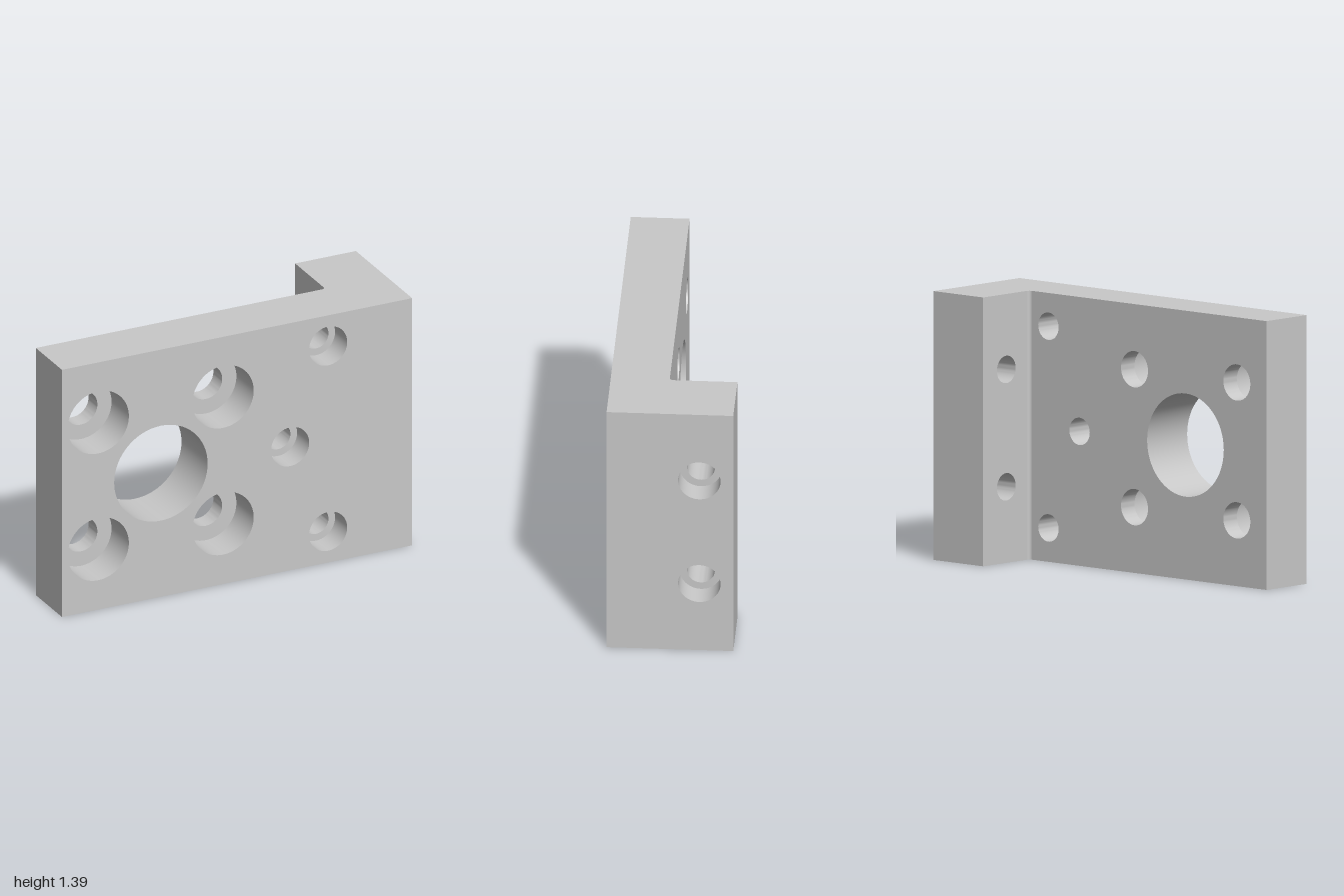
import * as THREE from 'three';
import { toCreasedNormals } from 'three/addons/utils/BufferGeometryUtils.js';

const H = 1.39;                       // height
const FRONT = 0.325, BACK = -0.325;   // z extents
const WEB = 0.023;                    // rear face of the plate
const INNER = 0.653;                  // inner face of the flange
const R = 0.02;                       // inner corner fillet

// Holes: position on the face, through radius r, counterbore radius cb and depth d
const plateHoles = [{ u: -0.435, v: 0.695, r: 0.267 }];
for (const u of [-0.793, -0.08])
  for (const v of [0.34, 1.053]) plateHoles.push({ u, v, r: 0.094, cb: 0.175, d: 0.2 });
for (const [u, v] of [[0.52, 0.175], [0.52, 1.218], [0.303, 0.695]])
  plateHoles.push({ u, v, r: 0.071, cb: 0.109, d: 0.14 });
const flangeHoles = [0.393, 1.0].map((v) => ({ u: -0.151, v, r: 0.071, cb: 0.109, d: 0.135 }));

// Flat rectangular face from u0 to u1 with circular holes [u, v, radius]
function panel(u0, u1, holes = []) {
  const s = new THREE.Shape([[u0, 0], [u1, 0], [u1, H], [u0, H]].map((p) => new THREE.Vector2(...p)));
  for (const [u, v, r] of holes) s.holes.push(new THREE.Path().absarc(u, v, r, 0, Math.PI * 2, true));
  return new THREE.ShapeGeometry(s, 32);
}

// Inward-facing wall of a stepped hole, opening at y = depth
function bore({ r, cb, d }, depth) {
  const pts = cb ? [[cb, depth], [cb, depth - d], [r, depth - d], [r, 0]] : [[r, depth], [r, 0]];
  const g = new THREE.LatheGeometry(pts.map((p) => new THREE.Vector2(...p)), 64);
  return toCreasedNormals(g, Math.PI / 6);
}

// L-shaped outline seen along y; sign flips z for the top cap
function cap(sign) {
  const s = new THREE.Shape();
  s.moveTo(-1, sign * FRONT);
  s.lineTo(1, sign * FRONT);
  s.lineTo(1, sign * BACK);
  s.lineTo(INNER, sign * BACK);
  s.lineTo(INNER, sign * (WEB - R));
  s.absarc(INNER - R, sign * (WEB - R), R, 0, sign * Math.PI / 2, sign < 0);
  s.lineTo(-1, sign * WEB);
  return new THREE.ShapeGeometry(s, 8);
}

export function createModel() {
  const metal = new THREE.MeshStandardMaterial({ color: 0xc8c8c8 });
  metal.name = 'light grey metal';
  const model = new THREE.Group();
  model.name = 'mountingBracket';
  const add = (name, geometry) => {
    const m = new THREE.Mesh(geometry, metal);
    m.name = name;
    model.add(m);
  };
  const quarter = Math.PI / 2;

  // Plate faces
  add('plateFront', panel(-1, 1, plateHoles.map((h) => [h.u, h.v, h.cb ?? h.r])).translate(0, 0, FRONT));
  add('plateRear', panel(R - INNER, 1, plateHoles.map((h) => [-h.u, h.v, h.r]))
    .rotateY(Math.PI).translate(0, 0, WEB));
  add('plateEnd', panel(WEB, FRONT).rotateY(-quarter).translate(-1, 0, 0));

  // Flange faces
  add('flangeOuter', panel(-FRONT, -BACK, flangeHoles.map((h) => [-h.u, h.v, h.cb]))
    .rotateY(quarter).translate(1, 0, 0));
  add('flangeInner', panel(BACK, WEB - R, flangeHoles.map((h) => [h.u, h.v, h.r]))
    .rotateY(-quarter).translate(INNER, 0, 0));
  add('flangeRear', panel(-1, -INNER).rotateY(Math.PI).translate(0, 0, BACK));

  // Top, bottom and the fillet in the inner corner
  add('topFace', cap(-1).rotateX(-quarter).translate(0, H, 0));
  add('bottomFace', cap(1).rotateX(quarter));
  add('cornerFillet', new THREE.LatheGeometry(
    [new THREE.Vector2(R, H), new THREE.Vector2(R, 0)], 8, 0, quarter).translate(INNER - R, 0, WEB - R));

  // Hole walls
  for (const h of plateHoles)
    add(h.cb ? 'plateScrewHole' : 'centreBore',
      bore(h, FRONT - WEB).rotateX(quarter).translate(h.u, h.v, WEB));
  for (const h of flangeHoles)
    add('flangeScrewHole', bore(h, 1 - INNER).rotateZ(-quarter).translate(INNER, h.v, h.u));

  return model;
}
